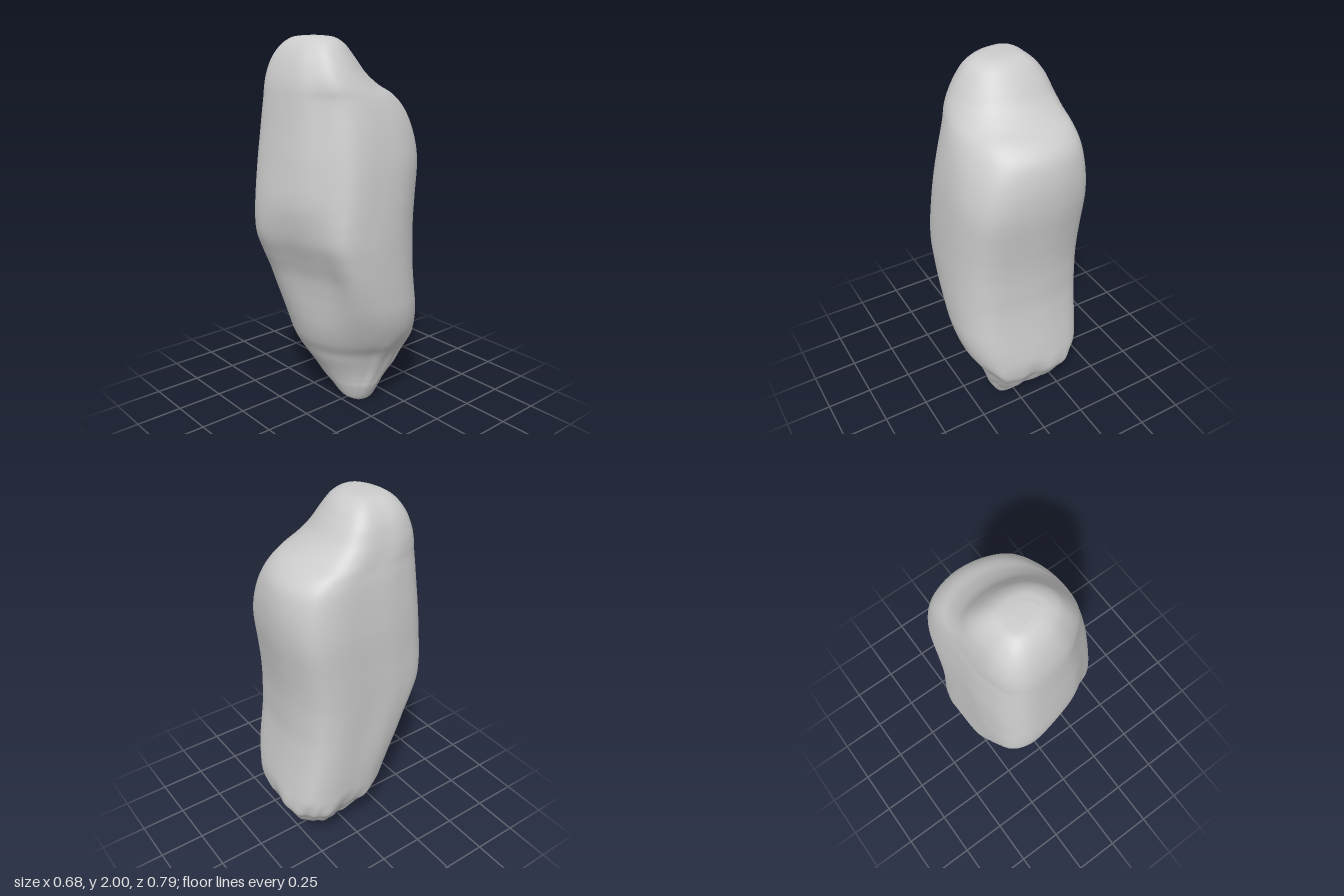
import * as THREE from 'three';

// Outline templates on a -1..1 square (x, z), running from the front-left round to the right and back
const LOW = [[-0.45, 0.98], [0, 0.98], [0.4, 0.82], [0.72, 0.56], [0.96, 0.12], [0.98, -0.45], [0.75, -0.86],
  [0.2, -1], [-0.4, -1], [-0.84, -0.86], [-0.98, -0.55], [-1, 0], [-0.95, 0.5], [-0.78, 0.84]];
const HIP = [[-0.55, 1], [0, 0.87], [0.45, 0.74], [0.85, 0.61], [1, 0.2], [0.97, -0.48], [0.74, -0.85],
  [0.2, -0.99], [-0.4, -1], [-0.86, -0.84], [-0.99, -0.58], [-1, 0], [-0.99, 0.5], [-0.87, 0.89]];
const MID = [[-0.58, 1], [0.25, 0.92], [0.6, 0.73], [0.91, 0.46], [1, -0.02], [0.96, -0.5], [0.73, -0.84],
  [0.2, -0.98], [-0.4, -0.99], [-0.86, -0.84], [-0.99, -0.6], [-1, 0], [-0.98, 0.45], [-0.85, 0.83]];
const TOP = [[-0.55, 1], [0.25, 0.93], [0.6, 0.74], [0.9, 0.46], [1, 0.08], [0.9, -0.36], [0.6, -0.77],
  [0.15, -0.98], [-0.35, -1], [-0.8, -0.83], [-0.97, -0.55], [-1, 0], [-0.98, 0.45], [-0.83, 0.82]];

// Cross-sections: y, x min, x max, z min, z max
const SECTIONS = [
  [0.005, 0.03, 0.09, -0.15, -0.05], [0.025, -0.04, 0.105, -0.175, -0.015],
  [0.1, -0.12, 0.14, -0.215, 0.025], [0.14, -0.17, 0.152, -0.25, 0.045],
  [0.2, -0.21, 0.172, -0.31, 0.075], [0.28, -0.26, 0.2, -0.355, 0.12],
  [0.33, -0.3, 0.225, -0.382, 0.145], [0.4, -0.32, 0.27, -0.388, 0.18],
  [0.5, -0.328, 0.31, -0.376, 0.213], [0.6, -0.332, 0.33, -0.36, 0.24],
  [0.7, -0.333, 0.334, -0.346, 0.267], [0.8, -0.333, 0.335, -0.336, 0.297],
  [0.9, -0.334, 0.335, -0.334, 0.34], [1.0, -0.335, 0.335, -0.335, 0.38],
  [1.1, -0.336, 0.333, -0.343, 0.394], [1.2, -0.336, 0.33, -0.356, 0.393],
  [1.4, -0.335, 0.315, -0.38, 0.372], [1.55, -0.325, 0.29, -0.374, 0.355],
  [1.65, -0.315, 0.265, -0.345, 0.345], [1.71, -0.305, 0.245, -0.29, 0.339],
  [1.76, -0.297, 0.225, -0.2, 0.333], [1.82, -0.284, 0.195, -0.125, 0.32],
  [1.9, -0.255, 0.15, -0.065, 0.29], [1.96, -0.21, 0.105, -0.015, 0.25],
  [1.99, -0.165, 0.055, 0.03, 0.21], [2.0, -0.1, 0.0, 0.09, 0.17],
];
const AROUND = 112, UP = 190;
const { lerp, smoothstep } = THREE.MathUtils;

// Smooth closed ring for one section, blending the templates with height
function ring([y, x0, x1, z0, z1]) {
  const toHip = smoothstep(y, 0.4, 0.85), toMid = smoothstep(y, 0.9, 1.32), toTop = smoothstep(y, 1.4, 1.8);
  const points = LOW.map((low, i) => {
    const [u, v] = [0, 1].map(k =>
      lerp(lerp(lerp(low[k], HIP[i][k], toHip), MID[i][k], toMid), TOP[i][k], toTop));
    return new THREE.Vector3(lerp(x0, x1, (u + 1) / 2), y, lerp(z0, z1, (v + 1) / 2));
  });
  const curve = new THREE.CatmullRomCurve3(points, true);
  return Array.from({ length: AROUND }, (_, i) => curve.getPoint(i / AROUND));
}

// Folds around the tapered foot, strongest at the sides and back
function foldFoot(p, s) {
  const band = smoothstep(p.y, 0.03, 0.15) * (1 - smoothstep(p.y, 0.3, 0.47));
  const back = smoothstep(s, 0.2, 0.3) * (1 - smoothstep(s, 0.8, 0.93));
  const a = s * Math.PI * 2;
  const wave = 0.7 * Math.sin(7 * a + 4 * p.y) + 0.3 * Math.sin(16 * a - 9 * p.y);
  const scale = 1 + band * back * (0.05 * wave - 0.01);
  p.x = 0.01 + (p.x - 0.01) * scale;
  p.z = -0.11 + (p.z + 0.11) * scale;
}

function stoneGeometry() {
  const rings = SECTIONS.map(ring);
  const columns = Array.from({ length: AROUND }, (_, i) =>
    new THREE.CatmullRomCurve3(rings.map(r => r[i])));
  const positions = [], index = [];
  for (let j = 0; j <= UP; j++) {
    columns.forEach((column, i) => {
      const p = column.getPoint(j / UP);
      foldFoot(p, i / AROUND);
      positions.push(p.x, p.y, p.z);
    });
  }
  for (let j = 0; j < UP; j++) {
    for (let i = 0; i < AROUND; i++) {
      const k = (i + 1) % AROUND;
      const a = j * AROUND + i, b = j * AROUND + k;
      index.push(a, b, b + AROUND, a, b + AROUND, a + AROUND);
    }
  }
  // Closing points at the foot and crown
  const foot = positions.length / 3, crown = foot + 1, last = UP * AROUND;
  positions.push(0.06, 0, -0.1, -0.05, 2, 0.13);
  for (let i = 0; i < AROUND; i++) {
    const k = (i + 1) % AROUND;
    index.push(foot, k, i, crown, last + i, last + k);
  }
  const geometry = new THREE.BufferGeometry();
  geometry.setAttribute('position', new THREE.Float32BufferAttribute(positions, 3));
  geometry.setIndex(index);
  geometry.computeVertexNormals();
  return geometry;
}

export function createModel() {
  const group = new THREE.Group();
  group.name = 'standingStone';
  const stone = new THREE.Mesh(stoneGeometry(),
    new THREE.MeshStandardMaterial({ color: 0xcccccc }));
  stone.name = 'stone';
  group.add(stone);
  return group;
}
